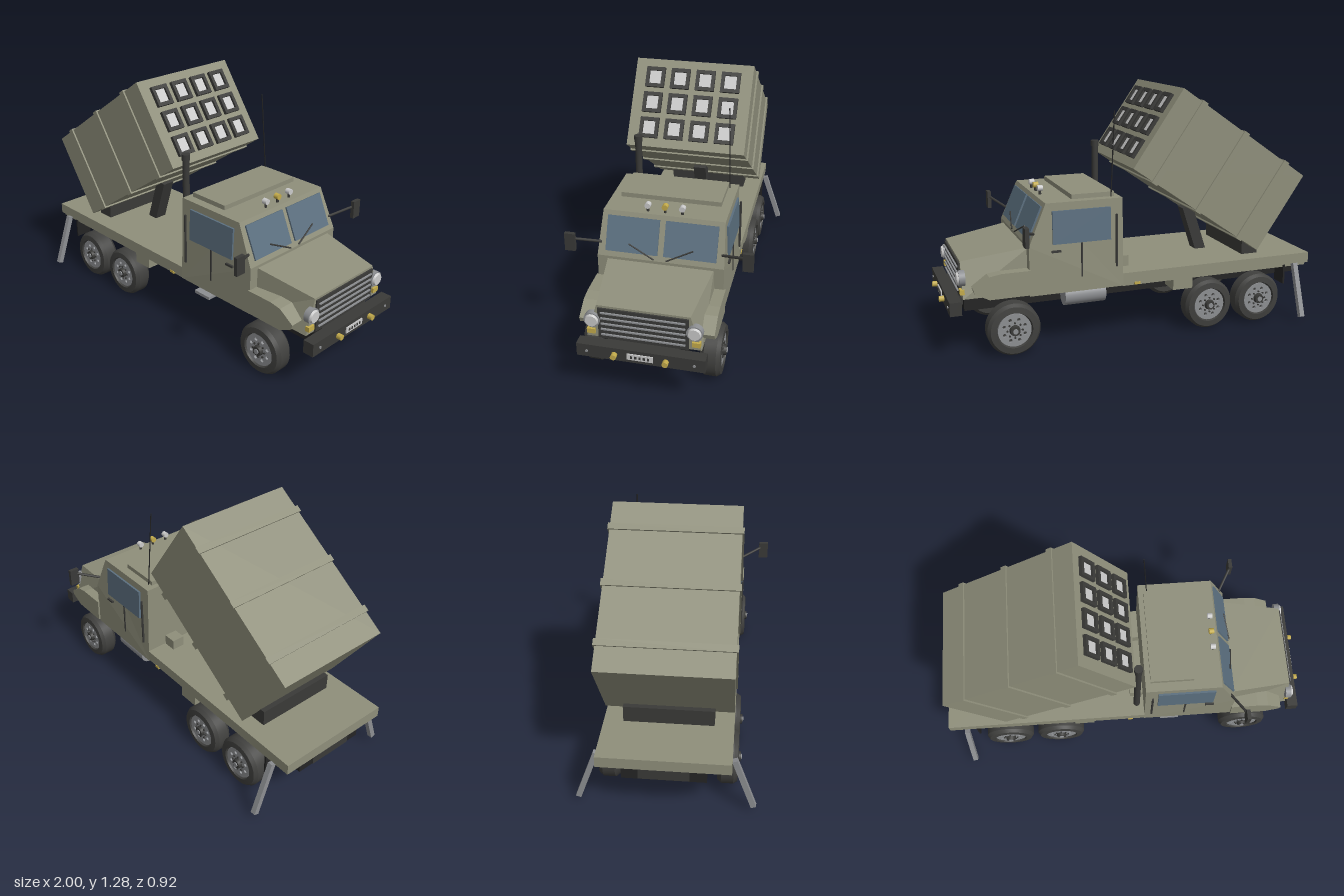
import * as THREE from 'three';
import { toCreasedNormals } from 'three/addons/utils/BufferGeometryUtils.js';

const mat = (color) => new THREE.MeshStandardMaterial({ color });
const KHAKI = mat(0x8f8f7b), DARK = mat(0x3a3a38), BLACK = mat(0x242424), TYRE = mat(0x40403e);
const GLASS = mat(0x5c7080), STEEL = mat(0x8d8f92), LAMP = mat(0xcccccc), AMBER = mat(0xc4ac4c);

function add(parent, name, geo, material, x = 0, y = 0, z = 0) {
  const m = new THREE.Mesh(geo, material);
  m.name = name;
  m.position.set(x, y, z);
  parent.add(m);
  return m;
}

// Box given by its limits on each axis
function box(parent, name, material, x0, x1, y0, y1, z0, z1) {
  return add(parent, name, new THREE.BoxGeometry(x1 - x0, y1 - y0, z1 - z0), material,
    (x0 + x1) / 2, (y0 + y1) / 2, (z0 + z1) / 2);
}

// Bar between two points; sides = 4 gives a square section
function bar(parent, name, material, a, b, r, sides = 12) {
  const p = new THREE.Vector3(...a), q = new THREE.Vector3(...b), d = q.clone().sub(p);
  const g = new THREE.CylinderGeometry(r, r, d.length(), sides);
  if (sides === 4) g.rotateY(Math.PI / 4);
  const m = add(parent, name, sides === 4 ? toCreasedNormals(g, 0.5) : g, material);
  m.position.copy(p).add(q).multiplyScalar(0.5);
  m.quaternion.setFromUnitVectors(new THREE.Vector3(0, 1, 0), d.normalize());
  return m;
}

// Side outline (x, y) extruded from z0 to z1
function sideProfile(points, z0, z1) {
  const shape = new THREE.Shape(points.map((p) => new THREE.Vector2(...p)));
  return new THREE.ExtrudeGeometry(shape, { depth: z1 - z0, bevelEnabled: false }).translate(0, 0, z0);
}

// Move every vertex by a rule, then refresh the facets
function reshape(geo, rule) {
  const g = geo.index ? geo.toNonIndexed() : geo, p = g.attributes.position, v = new THREE.Vector3();
  for (let i = 0; i < p.count; i++) {
    rule(v.fromBufferAttribute(p, i));
    p.setXYZ(i, v.x, v.y, v.z);
  }
  g.computeVertexNormals();
  return g;
}

function makeWheel() {
  const w = new THREE.Group();
  w.name = 'wheel';
  const profile = [[0, -0.05], [0.115, -0.05], [0.133, -0.03], [0.133, 0.03], [0.12, 0.049],
    [0.09, 0.052], [0.084, 0.03], [0, 0.03]].map((p) => new THREE.Vector2(...p));
  add(w, 'tyre', toCreasedNormals(new THREE.LatheGeometry(profile, 40).rotateX(Math.PI / 2), 0.45), TYRE);
  const disc = new THREE.Shape().absarc(0, 0, 0.084, 0, Math.PI * 2);
  for (let i = 0; i < 8; i++) {
    const a = (i + 0.5) * Math.PI / 4;
    disc.holes.push(new THREE.Path().absarc(0.056 * Math.cos(a), 0.056 * Math.sin(a), 0.009, 0, Math.PI * 2, true));
  }
  add(w, 'rim', new THREE.ExtrudeGeometry(disc, { depth: 0.012, bevelEnabled: false, curveSegments: 16 }), STEEL, 0, 0, 0.032);
  add(w, 'hub', new THREE.CylinderGeometry(0.024, 0.028, 0.02, 20).rotateX(Math.PI / 2), DARK, 0, 0, 0.052);
  add(w, 'hubCap', new THREE.CylinderGeometry(0.013, 0.013, 0.006, 16).rotateX(Math.PI / 2), STEEL, 0, 0, 0.064);
  for (let i = 0; i < 8; i++) {
    const a = i * Math.PI / 4;
    add(w, 'wheelNut', new THREE.CylinderGeometry(0.005, 0.005, 0.008, 6).rotateX(Math.PI / 2), DARK,
      0.038 * Math.cos(a), 0.038 * Math.sin(a), 0.047);
  }
  return w;
}

function makeLauncher() {
  const g = new THREE.Group(), L = 0.867, H = 0.473;
  g.name = 'launcher';
  box(g, 'launcherBody', KHAKI, -L / 2, L / 2, -H / 2, H / 2, -0.313, 0.313);
  for (const x of [-0.295, 0, 0.295])
    box(g, 'launcherRib', KHAKI, x - 0.017, x + 0.017, -H / 2 - 0.008, H / 2 + 0.008, -0.322, 0.322);
  // Tube mouths: square frames with a light cover set back inside
  const frame = new THREE.Shape([[-1, -1], [1, -1], [1, 1], [-1, 1]].map(([a, b]) => new THREE.Vector2(a * 0.05, b * 0.054)));
  frame.holes.push(new THREE.Path([[-1, -1], [-1, 1], [1, 1], [1, -1]].map(([a, b]) => new THREE.Vector2(a * 0.032, b * 0.035))));
  const frameGeo = new THREE.ExtrudeGeometry(frame, { depth: 0.018, bevelEnabled: false }).rotateY(Math.PI / 2);
  for (let r = -1; r <= 1; r++) for (let c = -1.5; c <= 1.5; c++) {
    const y = r * 0.136, z = c * 0.134;
    add(g, 'tubeFrame', frameGeo, DARK, L / 2, y, z);
    box(g, 'tubeCover', LAMP, L / 2 - 0.01, L / 2 + 0.006, y - 0.035, y + 0.035, z - 0.032, z + 0.032);
  }
  g.position.set(-0.4525, 0.84, 0);
  g.rotation.z = 0.602;
  return g;
}

function makeCab() {
  const g = new THREE.Group();
  g.name = 'cab';
  const shell = sideProfile([[0.093, 0.29], [0.58, 0.29], [0.58, 0.54], [0.49, 0.748], [0.093, 0.748]], -0.315, 0.315);
  add(g, 'cabShell', reshape(shell, (v) => { if (v.y > 0.7) v.z *= 0.96; }), KHAKI);
  box(g, 'roofHatch', KHAKI, 0.12, 0.345, 0.745, 0.772, -0.255, 0.255);
  // Hood narrows and drops towards the nose
  const hood = new THREE.BoxGeometry(1, 1, 1);
  add(g, 'hood', reshape(hood, (v) => {
    const front = v.x > 0, top = v.y > 0;
    v.set(front ? 0.9 : 0.57, top ? (front ? 0.478 : 0.527) : 0.3,
      Math.sign(v.z) * (top ? (front ? 0.222 : 0.265) : 0.275));
  }), KHAKI);
  // Grille with horizontal slats
  box(g, 'grille', DARK, 0.89, 0.908, 0.3, 0.467, -0.215, 0.215);
  for (let i = 0; i < 5; i++)
    box(g, 'grilleSlat', STEEL, 0.9, 0.916, 0.322 + i * 0.03, 0.329 + i * 0.03, -0.2, 0.2);
  // Windscreen panes and wipers
  for (const s of [1, -1]) {
    const pane = box(g, 'windscreen', GLASS, 0.53, 0.542, 0.56, 0.735, s * 0.145 - 0.13, s * 0.145 + 0.13);
    pane.position.set(0.537, 0.647, s * 0.145);
    pane.rotation.z = 0.405;
    bar(g, 'wiper', DARK, [0.585, 0.55, s * 0.03], [0.562, 0.61, s * 0.16], 0.004, 6);
  }
  for (const s of [1, -1]) {
    const fender = sideProfile([[0.58, 0.3], [0.78, 0.3], [0.85, 0.335], [0.858, 0.36], [0.78, 0.415], [0.72, 0.425], [0.575, 0.425]],
      s > 0 ? 0.2 : -0.325, s > 0 ? 0.325 : -0.2);
    add(g, 'fender', fender, KHAKI);
    const win = box(g, 'sideWindow', GLASS, 0.16, 0.46, 0.542, 0.708, -0.005, 0.005);
    win.position.z = s * 0.3085;
    win.rotation.x = -s * 0.04;
    win.scale.z = 1.8;
    bar(g, 'grabRail', DARK, [0.13, 0.4, s * 0.32], [0.13, 0.67, s * 0.32], 0.006, 8);
    box(g, 'doorSeam', DARK, 0.308, 0.316, 0.365, 0.54, s * 0.315 - 0.003, s * 0.315 + 0.003);
    box(g, 'doorHandle', DARK, 0.42, 0.468, 0.502, 0.512, s * 0.318 - 0.006, s * 0.318 + 0.006);
    // Mirror on its arm
    bar(g, 'mirrorArm', DARK, [0.55, 0.6, s * 0.3], [0.62, 0.642, s * 0.42], 0.007, 8);
    box(g, 'mirror', DARK, 0.612, 0.632, 0.578, 0.672, s * 0.435 - 0.026, s * 0.435 + 0.026);
    // Headlight and turn signal
    add(g, 'headlightRing', new THREE.CylinderGeometry(0.039, 0.039, 0.03, 28).rotateZ(Math.PI / 2), STEEL, 0.9, 0.4, s * 0.243);
    add(g, 'headlight', new THREE.CylinderGeometry(0.028, 0.034, 0.012, 28).rotateZ(-Math.PI / 2), LAMP, 0.919, 0.4, s * 0.243);
    box(g, 'turnSignal', AMBER, 0.89, 0.912, 0.322, 0.347, s * 0.25 - 0.02, s * 0.25 + 0.02);
  }
  for (const i of [-1, 0, 1]) {
    add(g, 'roofLightFoot', new THREE.CylinderGeometry(0.007, 0.007, 0.03, 10), DARK, 0.46, 0.757, i * 0.086);
    add(g, 'roofLight', new THREE.CylinderGeometry(0.015, 0.015, 0.026, 16).rotateZ(Math.PI / 2), i ? LAMP : AMBER, 0.46, 0.78, i * 0.086);
  }
  bar(g, 'antenna', BLACK, [0.14, 0.745, -0.262], [0.115, 1.175, -0.246], 0.003, 6);
  return g;
}

export function createModel() {
  const truck = new THREE.Group();
  truck.name = 'launcherTruck';

  // Frame, deck and bumper
  box(truck, 'chassis', BLACK, -0.97, 0.885, 0.215, 0.288, -0.2, 0.2);
  box(truck, 'deck', KHAKI, -1, 0.093, 0.298, 0.355, -0.315, 0.315);
  box(truck, 'deckSill', KHAKI, -0.985, 0.093, 0.284, 0.3, -0.305, 0.305);
  box(truck, 'bumper', DARK, 0.912, 0.97, 0.232, 0.3, -0.305, 0.305);
  box(truck, 'bumperMount', DARK, 0.87, 0.92, 0.24, 0.3, -0.17, 0.17);
  box(truck, 'frontPlate', LAMP, 0.96, 0.975, 0.25, 0.282, -0.062, 0.062);
  box(truck, 'rearPlate', DARK, -0.98, -0.965, 0.225, 0.28, -0.12, 0.12);
  for (let i = -2; i <= 2; i++)
    box(truck, 'plateSlot', DARK, 0.97, 0.977, 0.259, 0.273, i * 0.02 - 0.005, i * 0.02 + 0.005);

  truck.add(makeCab(), makeLauncher());

  // Launcher hinge block and lifting strut
  box(truck, 'launcherBase', DARK, -0.73, -0.635, 0.35, 0.44, -0.22, 0.22);
  const strut = box(truck, 'liftStrut', DARK, -0.03, 0.03, -0.14, 0.14, -0.035, 0.035);
  strut.position.set(-0.435, 0.47, 0);
  strut.rotation.z = -0.32;

  // Exhaust stack
  bar(truck, 'exhaust', DARK, [0.055, 0.35, 0.242], [0.055, 0.93, 0.242], 0.018, 20);
  bar(truck, 'exhaustCap', DARK, [0.055, 0.925, 0.242], [0.055, 0.957, 0.242], 0.022, 20);

  // Fuel tank on the right, step on the left
  bar(truck, 'fuelTank', STEEL, [0.18, 0.255, -0.25], [0.395, 0.255, -0.25], 0.052, 28);
  box(truck, 'step', STEEL, 0.185, 0.29, 0.238, 0.254, 0.19, 0.31);

  for (const s of [1, -1]) {
    for (const x of [-0.682, -0.388, 0.665]) {
      const w = makeWheel();
      w.position.set(x, 0.134, s * 0.29);
      if (s < 0) w.rotation.y = Math.PI;
      truck.add(w);
    }
    box(truck, 'toolBox', KHAKI, -0.3, -0.19, 0.228, 0.285, s * 0.25 - 0.055, s * 0.25 + 0.055);
    box(truck, 'mudFlap', BLACK, -0.855, -0.845, 0.19, 0.3, s * 0.27 - 0.045, s * 0.27 + 0.045);
    box(truck, 'cabMount', KHAKI, 0.02, 0.09, 0.35, 0.412, s * 0.165 - 0.035, s * 0.165 + 0.035);
    bar(truck, 'outrigger', STEEL, [-0.905, 0.305, s * 0.325], [-0.905, 0.028, s * 0.422], 0.019, 4);
    box(truck, 'sideMarker', AMBER, 0, 0.03, 0.289, 0.303, s * 0.312 - 0.006, s * 0.312 + 0.006);
    add(truck, 'fogLight', new THREE.CylinderGeometry(0.015, 0.015, 0.03, 8).rotateZ(Math.PI / 2), AMBER, 0.98, 0.265, s * 0.122);
    add(truck, 'bumperBolt', new THREE.CylinderGeometry(0.007, 0.007, 0.01, 8).rotateZ(Math.PI / 2), STEEL, 0.97, 0.265, s * 0.255);
  }
  return truck;
}
